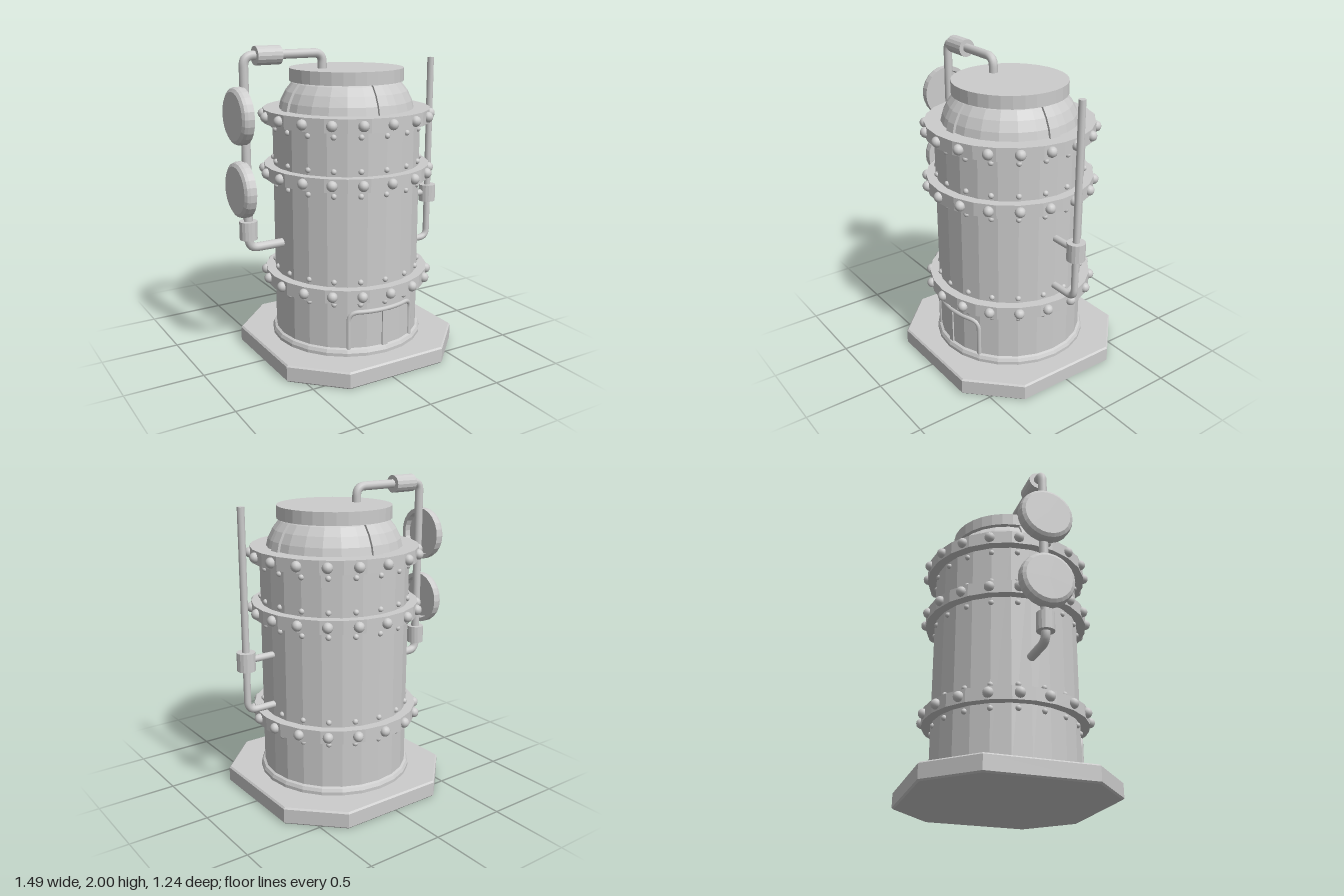
import * as THREE from 'three';

const AXIS = 0.03; // x of the boiler axis
const V = (x, y, z = 0) => new THREE.Vector3(x, y, z);
const smooth = new THREE.MeshStandardMaterial({ color: 0xcccccc, side: THREE.DoubleSide });
const flat = new THREE.MeshStandardMaterial({ color: 0xcccccc, side: THREE.DoubleSide, flatShading: true });

export function createModel() {
  const root = new THREE.Group();
  const add = (name, geo, mat, x = 0, y = 0, z = 0) => {
    const m = new THREE.Mesh(geo, mat);
    m.name = name;
    m.position.set(x, y, z);
    root.add(m);
    return m;
  };
  const drum = (name, r, y0, y1, x = AXIS, sides = 24) =>
    add(name, new THREE.CylinderGeometry(r, r, y1 - y0, sides), flat, x, (y0 + y1) / 2);
  const lathe = (name, pts, sides, x = AXIS, start = 0, len = Math.PI * 2) =>
    add(name, new THREE.LatheGeometry(pts.map(p => new THREE.Vector2(...p)), sides, start, len), flat, x);

  // Pipe through corner points with rounded elbows
  const pipe = (name, pts, r, bend) => {
    const path = new THREE.CurvePath();
    let from = pts[0];
    for (let i = 1; i < pts.length; i++) {
      const p = pts[i];
      if (i === pts.length - 1) {
        path.add(new THREE.LineCurve3(from, p));
        break;
      }
      const a = p.clone().add(pts[i - 1].clone().sub(p).setLength(bend));
      const b = p.clone().add(pts[i + 1].clone().sub(p).setLength(bend));
      path.add(new THREE.LineCurve3(from, a));
      path.add(new THREE.QuadraticBezierCurve3(a, p, b));
      from = b;
    }
    add(name, new THREE.TubeGeometry(path, 160, r, 12), smooth);
  };

  // Octagonal foot plate
  const e = 0.01, hx = 0.625 - e, hz = 0.622 - e, c = 0.338;
  const oct = new THREE.Shape([[c, -hz], [hx, -c], [hx, c], [c, hz], [-c, hz], [-hx, c], [-hx, -c], [-c, -hz]]
    .map(p => new THREE.Vector2(...p)));
  const plate = new THREE.ExtrudeGeometry(oct, { depth: 0.09, bevelThickness: e, bevelSize: e, bevelSegments: 1 });
  plate.rotateX(-Math.PI / 2);
  add('footPlate', plate, flat, AXIS, e);

  // Boiler body, foot collar, dome and lid
  drum('body', 0.47, 0.1, 1.55);
  lathe('footCollar', [[0.495, 0.1], [0.495, 0.13], [0.485, 0.15], [0.465, 0.16]], 24);
  const dome = [[0.43, 1.59], [0.415, 1.65], [0.385, 1.71], [0.345, 1.76], [0.31, 1.785]];
  lathe('dome', dome, 24);
  drum('lid', 0.36, 1.77, 1.85, AXIS, 32);

  // Four raised straps on the dome
  for (let i = 0; i < 4; i++) {
    const strap = [[0.4, 1.59], ...dome.map(([r, y]) => [r + 0.014, y + 0.005]), [0.29, 1.785]];
    const w = 0.16, start = i * Math.PI / 2 - w / 2;
    lathe('domeStrap', strap, 1, AXIS, start, w);
    // side walls of the strap
    for (const a of [start, start + w]) {
      const wall = new THREE.ShapeGeometry(new THREE.Shape(strap.map(p => new THREE.Vector2(...p))));
      add('domeStrapSide', wall, flat, AXIS).rotation.y = a - Math.PI / 2;
    }
  }

  // Bands and rivets
  const rivets = (name, y, ring, r) => {
    const geo = new THREE.SphereGeometry(r, 12, 8);
    for (let i = 0; i < 18; i++) {
      const a = i * Math.PI / 9;
      add(name, geo, smooth, AXIS + ring * Math.sin(a), y, ring * Math.cos(a));
    }
  };
  for (const y of [0.517, 1.208, 1.56]) {
    drum('band', 0.53, y - 0.042, y + 0.042);
    rivets('bandRivet', y, 0.53, 0.033);
  }
  for (const y of [0.445, 0.59, 1.13, 1.28, 1.485]) rivets('bodyRivet', y, 0.467, 0.018);

  // Fire door frame wrapped round the body
  const w = 0.227, lo = 0.125, hi = 0.395, k = 0.06;
  const s = new THREE.Shape();
  s.moveTo(-w, lo);
  s.lineTo(w, lo);
  s.lineTo(w, hi - k);
  s.quadraticCurveTo(w, hi, w - k, hi);
  s.lineTo(-w + k, hi);
  s.quadraticCurveTo(-w, hi, -w, hi - k);
  s.lineTo(-w, lo);
  const loop = s.getSpacedPoints(64).slice(0, -1)
    .map(p => V(AXIS + p.x, p.y, Math.sqrt(0.468 ** 2 - p.x ** 2)));
  add('doorFrame', new THREE.TubeGeometry(new THREE.CatmullRomCurve3(loop, true), 128, 0.015, 8, true), smooth);
  add('doorBar', new THREE.BoxGeometry(0.038, 0.27, 0.03), flat, AXIS, 0.26, 0.462);

  // Steam pipe on the right with two couplings
  pipe('steamPipe', [V(-0.4, 0.775), V(-0.667, 0.775), V(-0.667, 1.945), V(-0.143, 1.945), V(-0.143, 1.84)], 0.028, 0.06);
  drum('steamCoupling', 0.055, 0.835, 0.95, -0.668, 16);
  const top = new THREE.CylinderGeometry(0.057, 0.057, 0.16, 16);
  add('topCoupling', top, flat, -0.515, 1.943).rotation.z = Math.PI / 2;

  // Round gauges with a dished inner side
  for (const y of [1.597, 1.152]) {
    const g = lathe('gauge', [[0, 0], [0.145, 0], [0.165, 0.012], [0.172, 0.03], [0.172, 0.07],
      [0.145, 0.07], [0.138, 0.035], [0, 0.035]], 24, -0.75);
    g.position.y = y;
    g.rotation.z = -Math.PI / 2;
  }

  // Exhaust pipe on the left with coupling and branch
  pipe('exhaustPipe', [V(0.45, 0.635), V(0.686, 0.635), V(0.686, 1.885)], 0.022, 0.06);
  add('exhaustCap', new THREE.CircleGeometry(0.022, 12), flat, 0.686, 1.885).rotation.x = -Math.PI / 2;
  drum('exhaustCoupling', 0.057, 0.9, 1.015, 0.686, 16);
  pipe('branchPipe', [V(0.45, 0.962), V(0.686, 0.962)], 0.022, 0);
  return root;
}
